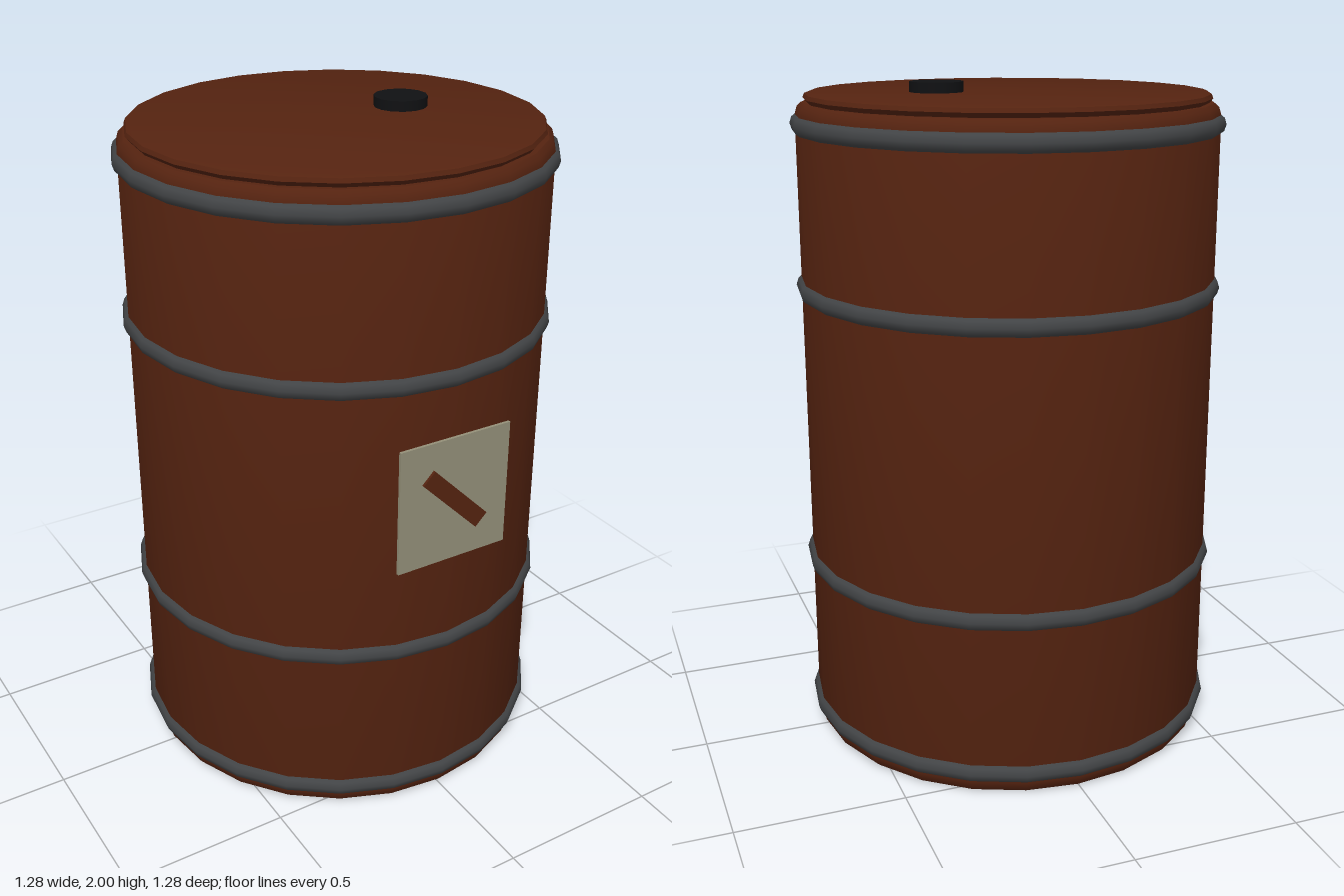
import * as THREE from 'three';
import { toCreasedNormals } from 'three/addons/utils/BufferGeometryUtils.js';

const SIDES = 24;

function material(name, color) {
  const m = new THREE.MeshStandardMaterial({ color });
  m.name = name;
  return m;
}

export function createModel() {
  const group = new THREE.Group();
  group.name = 'barrel';

  const rust = material('rust', 0x552310);
  const steel = material('darkSteel', 0x424446);
  const paper = material('agedPaper', 0x949079);
  const black = material('black', 0x101113);

  function add(name, geometry, mat, x = 0, y = 0, z = 0) {
    const mesh = new THREE.Mesh(geometry, mat);
    mesh.name = name;
    mesh.position.set(x, y, z);
    group.add(mesh);
    return mesh;
  }

  // Turned part with a crisp crease at each bevel and smooth sides
  function turned(points) {
    const profile = points.map(([r, y]) => new THREE.Vector2(r, y));
    return toCreasedNormals(new THREE.LatheGeometry(profile, SIDES), 0.6);
  }

  // Drum body with chamfered ends
  add('body', turned([
    [0, 0], [0.605, 0], [0.618, 0.012], [0.625, 0.035],
    [0.625, 1.905], [0.618, 1.928], [0.605, 1.94], [0, 1.94],
  ]), rust);

  // Raised lid with a rounded edge
  add('lid', turned([
    [0, 1.935], [0.585, 1.935], [0.6, 1.953], [0.595, 1.965], [0.582, 1.97], [0, 1.97],
  ]), rust);

  // Four rolled hoops
  const hoop = new THREE.TorusGeometry(0.609, 0.032, 10, SIDES).rotateX(Math.PI / 2);
  [0.065, 0.55, 1.4, 1.88].forEach((y, i) => add('hoop' + (i + 1), hoop, steel, 0, y));

  // Filler cap, off centre on the lid
  add('fillerCap', new THREE.CylinderGeometry(0.079, 0.079, 0.035, 14), black, 0.22, 1.9825);

  // Front label plate with a diagonal stripe
  add('label', new THREE.BoxGeometry(0.365, 0.385, 0.009), paper, 0, 1.032, 0.6315);
  add('labelStripe', new THREE.BoxGeometry(0.26, 0.052, 0.008), rust, 0, 1.032, 0.64)
    .rotation.z = -Math.PI / 4;

  return group;
}
